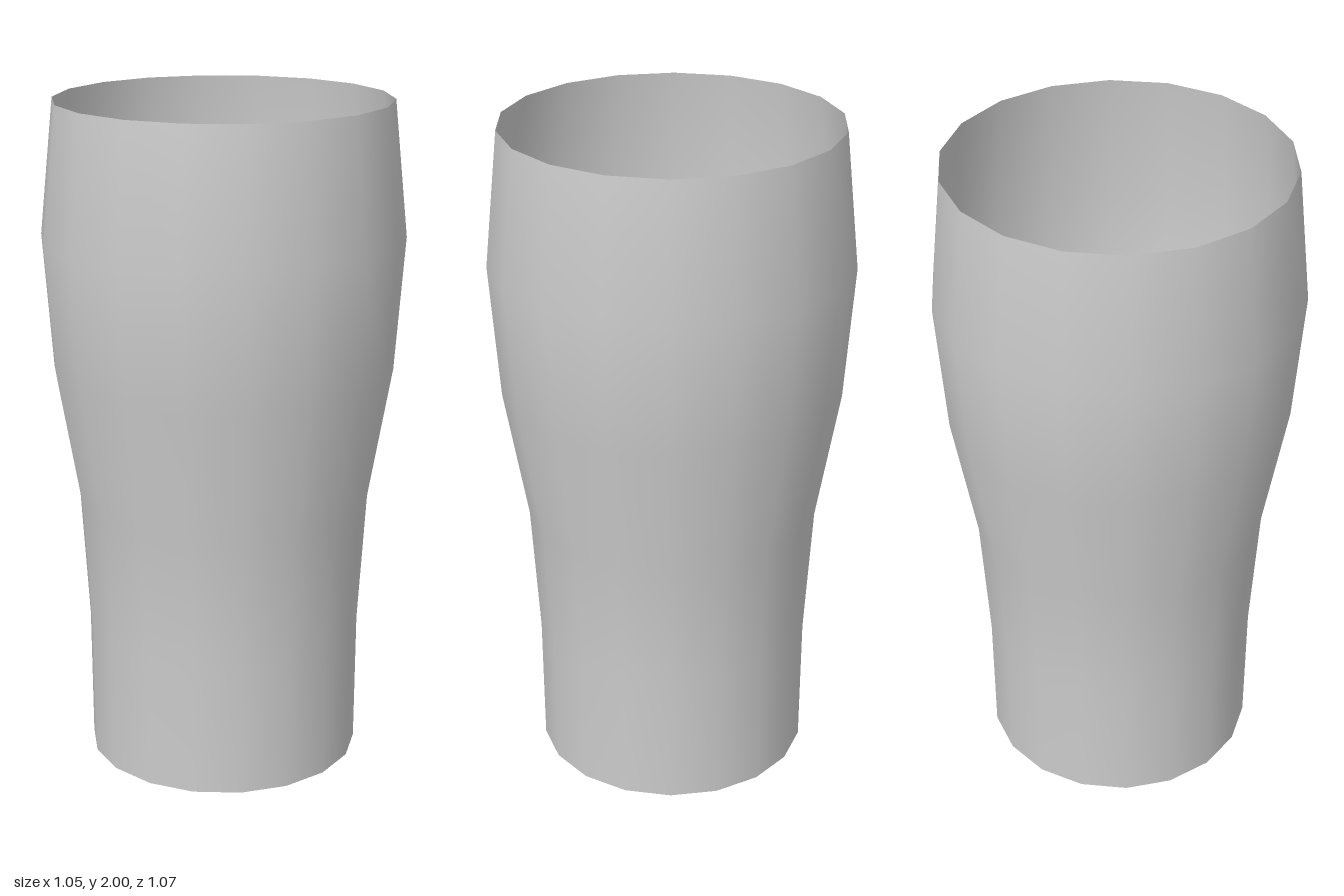
import * as THREE from 'three';

const SIDES = 18;

export function createModel() {
  const group = new THREE.Group();
  const material = new THREE.MeshStandardMaterial({ color: 0xcccccc, side: THREE.DoubleSide });

  const add = (name, geometry) => {
    const mesh = new THREE.Mesh(geometry, material);
    mesh.name = name;
    group.add(mesh);
    return mesh;
  };

  // Thin curved wall: [radius, height] from foot to rim
  const profile = [
    [0.41, 0], [0.413, 0.4], [0.437, 0.8], [0.506, 1.2], [0.535, 1.6], [0.494, 2],
  ].map(([r, y]) => new THREE.Vector2(r, y));
  add('glassWall', new THREE.LatheGeometry(profile, SIDES));

  // Flat base, corners aligned with the wall (one on the z axis)
  const base = new THREE.CircleGeometry(0.41, SIDES, Math.PI / 2);
  base.rotateX(Math.PI / 2);
  add('base', base);

  // Level surface of the drink, just inside the wall
  const surface = new THREE.CircleGeometry(0.489, 36);
  surface.rotateX(-Math.PI / 2);
  add('drinkSurface', surface).position.y = 1.22;

  return group;
}
